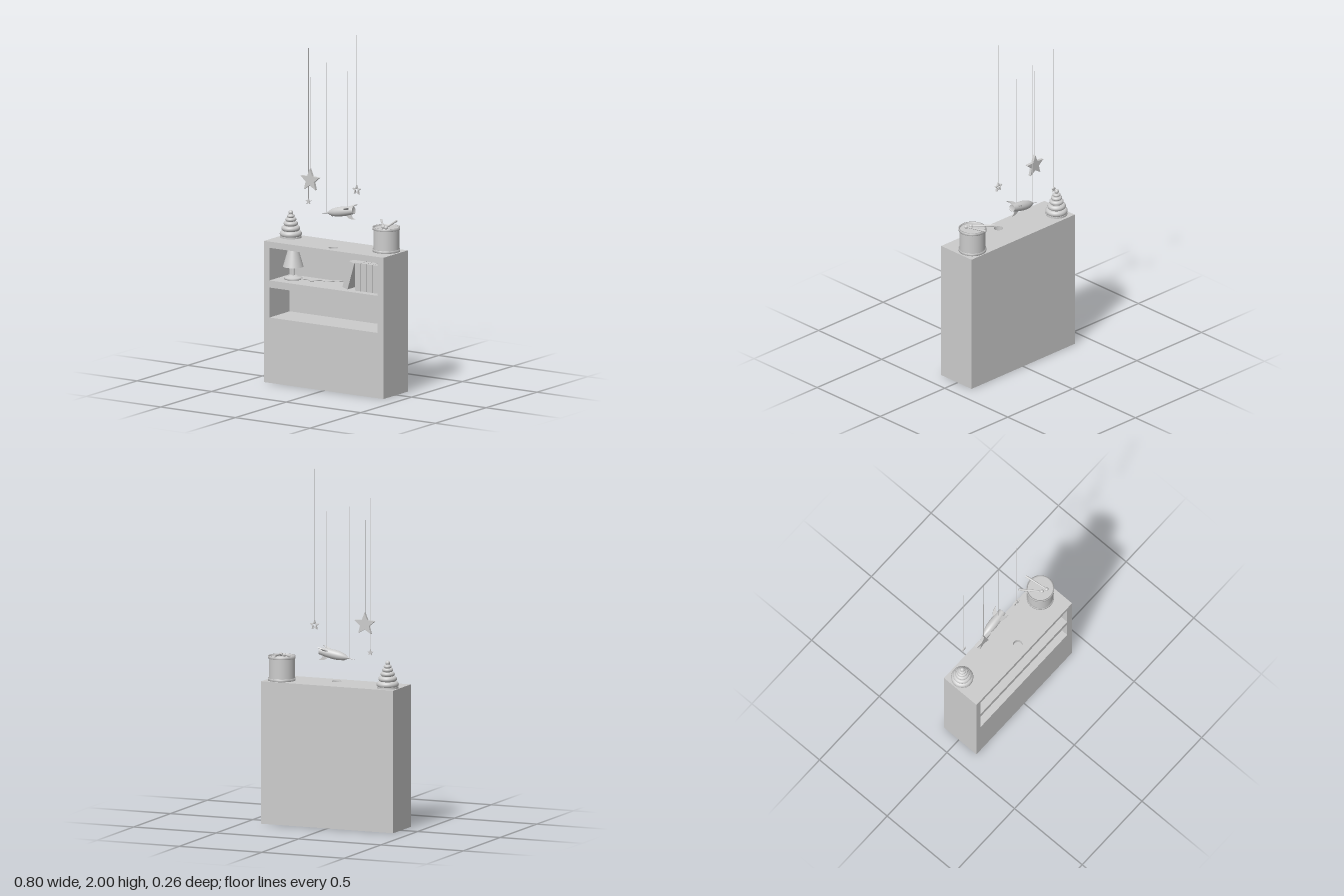
import * as THREE from 'three';

const material = new THREE.MeshStandardMaterial({ color: 0xcccccc, side: THREE.DoubleSide });
const flat = new THREE.MeshStandardMaterial({ color: 0xcccccc, flatShading: true, side: THREE.DoubleSide });
const V = (x, y, z) => new THREE.Vector3(x, y, z);

function add(parent, name, geometry, x = 0, y = 0, z = 0, mat = material) {
  const mesh = new THREE.Mesh(geometry, mat);
  mesh.name = name;
  mesh.position.set(x, y, z);
  parent.add(mesh);
  return mesh;
}

function group(parent, name, x = 0, y = 0, z = 0) {
  const g = new THREE.Group();
  g.name = name;
  g.position.set(x, y, z);
  parent.add(g);
  return g;
}

const polygon = pts => pts.map(p => new THREE.Vector2(p[0], p[1]));
const rect = (x0, y0, x1, y1) => polygon([[x0, y0], [x1, y0], [x1, y1], [x0, y1]]);
const lathe = (pts, seg = 40) => new THREE.LatheGeometry(polygon(pts), seg);
const extrude = (shape, depth) =>
  new THREE.ExtrudeGeometry(shape, { depth, bevelEnabled: false, curveSegments: 32 });

// Straight round bar between two points
function rod(parent, name, a, b, r0, r1 = r0, seg = 10) {
  const dir = b.clone().sub(a);
  const mesh = add(parent, name, new THREE.CylinderGeometry(r1, r0, dir.length(), seg));
  mesh.position.copy(a).addScaledVector(dir, 0.5);
  mesh.quaternion.setFromUnitVectors(V(0, 1, 0), dir.normalize());
}

// Cabinet with two open compartments and a round hole in its top
function cabinet(root) {
  const g = group(root, 'cabinet');
  const L = -0.365, R = 0.36;
  const body = new THREE.Shape(polygon([
    [-0.4, 0], [0.4, 0], [0.4, 0.765], [R, 0.765], [R, 0.58], [L, 0.58], [L, 0.765], [-0.4, 0.765],
  ]));
  body.holes.push(new THREE.Path(rect(L, 0.37, R, 0.54)));
  add(g, 'cabinetBody', extrude(body, 0.2), 0, 0, -0.07, flat);
  add(g, 'backPanel', new THREE.BoxGeometry(0.8, 0.765, 0.04), 0, 0.3825, -0.09, flat);

  const top = new THREE.Shape(rect(-0.4, -0.13, 0.4, 0.11));
  const hole = new THREE.Path();
  hole.absarc(0.02, -0.065, 0.026, 0, Math.PI * 2, true);
  top.holes.push(hole);
  add(g, 'cabinetTop', extrude(top, 0.035).rotateX(-Math.PI / 2), 0, 0.765, 0, flat);
}

// Table lamp with a cord running to the back wall
function lamp(root) {
  const g = group(root, 'lamp', -0.28, 0.58, 0.02);
  add(g, 'lampBase', lathe([[0, 0], [0.05, 0], [0.051, 0.006], [0.048, 0.012], [0.025, 0.016], [0.022, 0.022], [0, 0.023]]));
  add(g, 'lampStem', new THREE.CylinderGeometry(0.009, 0.011, 0.09, 20), 0, 0.065);
  add(g, 'lampShade', new THREE.CylinderGeometry(0.029, 0.057, 0.098, 40, 1, true), 0, 0.12);
  add(g, 'shadeCap', new THREE.CylinderGeometry(0.029, 0.029, 0.003, 40), 0, 0.167);
  const cord = new THREE.CatmullRomCurve3([
    V(0.045, 0.004, 0), V(0.09, 0.004, -0.015), V(0.12, 0.004, 0.005), V(0.16, 0.004, -0.04),
    V(0.2, 0.004, -0.025), V(0.24, 0.004, -0.065), V(0.28, 0.004, -0.088),
  ]);
  add(g, 'lampCord', new THREE.TubeGeometry(cord, 48, 0.003, 8));
}

// Four upright books and one leaning against them
function books(root) {
  const g = group(root, 'books', 0, 0.58, 0.02);
  const book = new THREE.BoxGeometry(0.036, 0.158, 0.13).translate(0.018, 0.079, 0);
  for (let i = 0; i < 4; i++) add(g, 'book', book, 0.18 + i * 0.039, 0, 0, flat);
  add(g, 'leaningBook', book, 0.094, 0.011, 0, flat).rotation.z = -0.29;
}

// Stacking ring toy
function stackingToy(root) {
  const g = group(root, 'stackingToy', -0.333, 0.8, -0.034);
  add(g, 'toyBase', new THREE.CylinderGeometry(0.06, 0.06, 0.01, 40), 0, 0.005);
  add(g, 'toyPost', new THREE.CylinderGeometry(0.012, 0.012, 0.13, 20), 0, 0.067);
  const rings = [[0.022, 0.062, 0.017], [0.052, 0.052, 0.015], [0.079, 0.04, 0.0125], [0.102, 0.031, 0.011], [0.121, 0.022, 0.009]];
  for (const [y, outer, tube] of rings) {
    const ring = new THREE.TorusGeometry(outer - tube, tube, 16, 40).rotateX(Math.PI / 2);
    add(g, 'toyRing', ring, 0, y);
    add(g, 'ringCore', new THREE.CylinderGeometry(outer - tube, outer - tube, tube, 32), 0, y);
  }
  add(g, 'toyKnob', new THREE.SphereGeometry(0.013, 20, 14), 0, 0.141);
}

// Drum with hoops and two sticks lying over its rim
function drum(root) {
  const g = group(root, 'drum', 0.312, 0.8, -0.027);
  add(g, 'drumShell', new THREE.CylinderGeometry(0.072, 0.072, 0.13, 48), 0, 0.065);
  const hoop = new THREE.LatheGeometry(polygon([[0.07, 0], [0.077, 0], [0.077, 0.014], [0.07, 0.014], [0.07, 0]]), 48);
  for (const y of [0, 0.124]) add(g, 'drumHoop', hoop, 0, y, 0);
  const sticks = [
    [V(-0.007, 0.14, 0.019), V(-0.09, 0.152, -0.083)],
    [V(0.019, 0.14, 0.03), V(-0.003, 0.152, -0.104)],
  ];
  for (const [tip, end] of sticks) {
    rod(g, 'drumStick', tip, end, 0.004, 0.006, 14);
    add(g, 'stickBall', new THREE.SphereGeometry(0.0105, 20, 14), tip.x, tip.y, tip.z);
  }
}

// Hanging rocket: local y runs from tail to nose, local x points upward
function rocket(root) {
  const g = group(root, 'rocket', 0.058, 0.99, -0.081);
  const axis = V(-0.205, -0.038, 0.011).normalize();
  const side = new THREE.Vector3().crossVectors(V(0, 1, 0), axis).normalize().negate();
  const up = new THREE.Vector3().crossVectors(axis, side);
  g.quaternion.setFromRotationMatrix(new THREE.Matrix4().makeBasis(up, axis, side));
  add(g, 'rocketBody', lathe([
    [0, 0.004], [0.014, 0.004], [0.018, 0], [0.02, 0.001], [0.02, 0.008], [0.021, 0.012], [0.0255, 0.05], [0.027, 0.085],
    [0.0255, 0.115], [0.021, 0.137], [0.014, 0.156], [0.007, 0.168], [0.003, 0.176], [0.0008, 0.21],
  ], 32));
  const fin = new THREE.Shape();
  fin.moveTo(0.021, 0.055);
  fin.quadraticCurveTo(0.05, 0.045, 0.05, 0);
  fin.quadraticCurveTo(0.042, 0.023, 0.018, 0.022);
  const finGeometry = extrude(fin, 0.006).translate(0, 0, -0.003);
  for (let i = 0; i < 3; i++) add(g, 'rocketFin', finGeometry).rotation.y = i * Math.PI * 2 / 3;
  const porthole = add(g, 'rocketWindow', new THREE.SphereGeometry(0.0105, 20, 14), 0.016, 0.141);
  porthole.scale.x = 0.6;
}

// Five-pointed star, point up, optionally cut out in the middle
function starPoints(radius) {
  return Array.from({ length: 10 }, (_, i) => {
    const r = i % 2 ? radius * 0.44 : radius;
    const a = Math.PI / 2 + i * Math.PI / 5;
    return [r * Math.cos(a), r * Math.sin(a)];
  });
}

function hangingStar(root, x, y, z, radius, depth, topY, open) {
  const g = group(root, 'hangingStar', x, y, z);
  const shape = new THREE.Shape(polygon(starPoints(radius)));
  if (open) shape.holes.push(new THREE.Path(polygon(starPoints(radius * 0.6))));
  add(g, 'star', extrude(shape, depth), 0, 0, -depth / 2, flat);
  rod(g, 'starString', V(0, radius * 0.98, 0), V(0, topY - y, 0), 0.0015, 0.0015, 6);
}

export function createModel() {
  const root = new THREE.Group();
  root.name = 'toyCabinet';
  cabinet(root);
  lamp(root);
  books(root);
  stackingToy(root);
  drum(root);
  rocket(root);
  rod(root, 'rocketString', V(-0.116, 0.96, -0.068), V(-0.116, 1.81, -0.068), 0.0015, 0.0015, 6);
  rod(root, 'rocketString', V(0.02, 1.0, -0.077), V(0.02, 1.775, -0.077), 0.0015, 0.0015, 6);
  hangingStar(root, -0.185, 1.145, -0.01, 0.065, 0.016, 1.73, false);
  hangingStar(root, 0.113, 1.122, -0.028, 0.0285, 0.011, 2.0, true);
  hangingStar(root, -0.254, 1.002, -0.092, 0.0175, 0.007, 1.87, false);
  return root;
}
